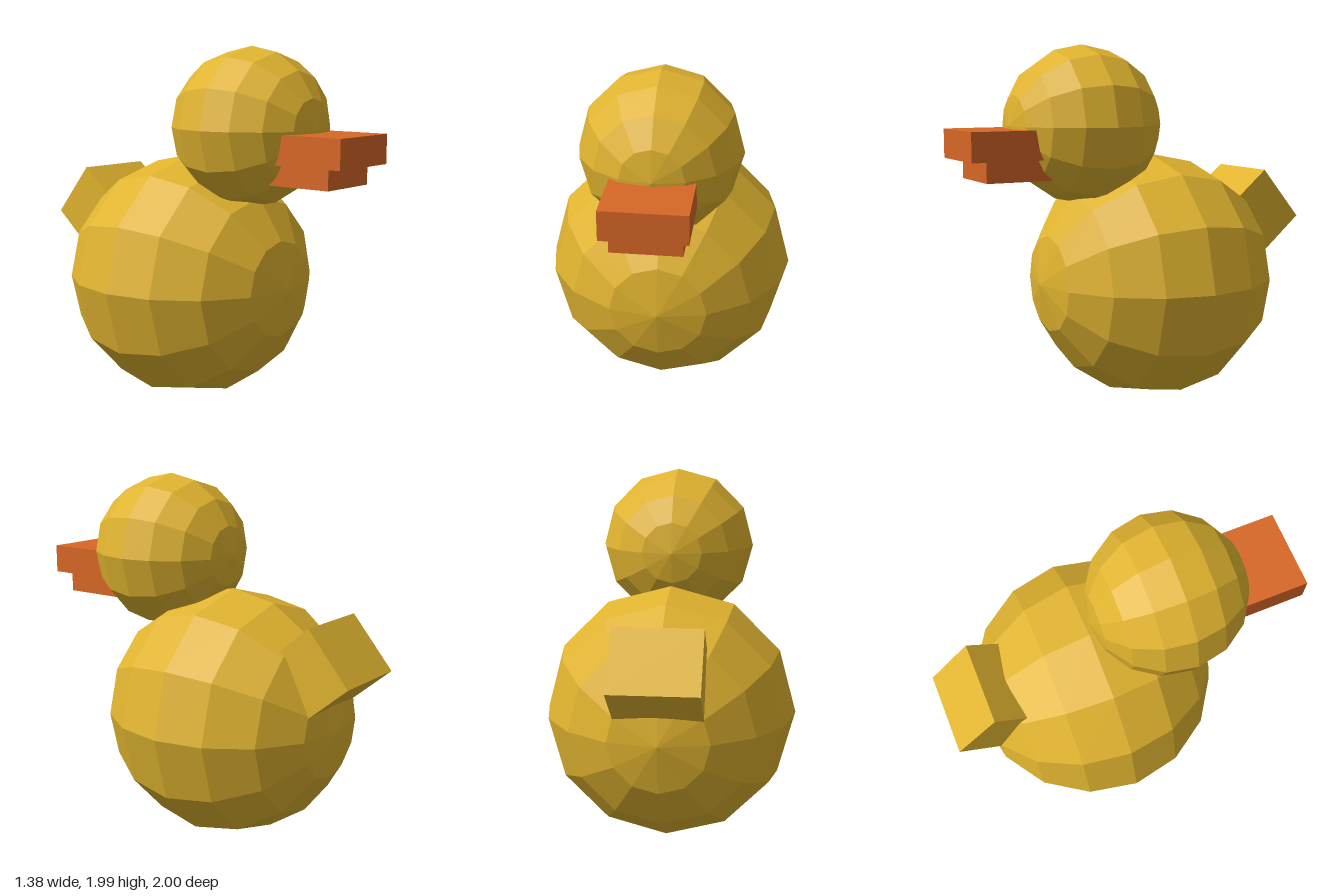
import * as THREE from 'three';

export function createModel() {
  const group = new THREE.Group();
  group.name = 'duck';

  const yellow = new THREE.MeshStandardMaterial({ color: 0xe0b32f, flatShading: true });
  yellow.name = 'yellow feathers';
  const orange = new THREE.MeshStandardMaterial({ color: 0xd86726, flatShading: true });
  orange.name = 'orange beak';

  const add = (name, geometry, material, y, z) => {
    const mesh = new THREE.Mesh(geometry, material);
    mesh.name = name;
    mesh.position.set(0, y, z);
    group.add(mesh);
    return mesh;
  };

  // Low-poly ball with its poles facing front and back
  const ball = (radius) => new THREE.SphereGeometry(radius, 12, 8).rotateX(Math.PI / 2);

  add('body', ball(0.69), yellow, 0.695, -0.14);
  add('head', ball(0.43), yellow, 1.56, 0.29);

  // Beak: two stacked blocks set into the head
  add('upperBeak', new THREE.BoxGeometry(0.43, 0.155, 0.5), orange, 1.4675, 0.75);
  add('lowerBeak', new THREE.BoxGeometry(0.36, 0.11, 0.41), orange, 1.335, 0.705);

  // Tail: tilted block sunk into the upper back
  const tail = add('tail', new THREE.BoxGeometry(0.46, 0.366, 0.4), yellow, 1.017, -0.73);
  tail.rotation.x = 0.7;

  return group;
}
